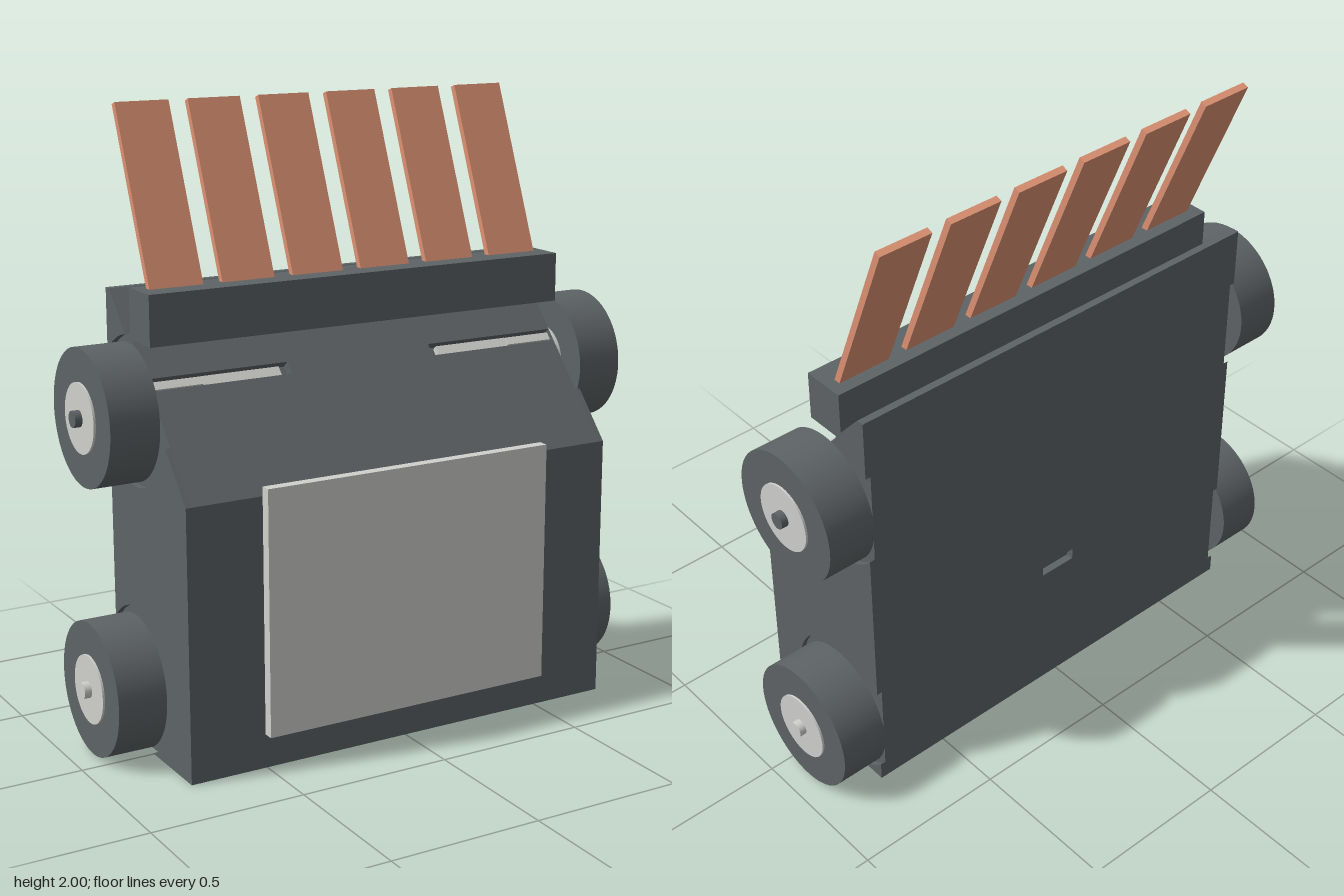
import * as THREE from 'three';

const mat = (name, color) => {
  const m = new THREE.MeshStandardMaterial({ color });
  m.name = name;
  return m;
};

export function createModel() {
  const dark = mat('dark grey', 0x5e6366);
  const light = mat('light grey', 0xd0d0cd);
  const copper = mat('copper', 0xdd9273);

  const model = new THREE.Group();
  model.name = 'fourWheeledMachine';
  const add = (name, geo, material, x = 0, y = 0, z = 0, parent = model) => {
    const m = new THREE.Mesh(geo, material);
    m.name = name;
    m.position.set(x, y, z);
    parent.add(m);
    return m;
  };
  const box = (w, h, d) => new THREE.BoxGeometry(w, h, d);

  // Profile shapes are drawn in (-z, y) and extruded along x
  const extrudeX = (shape, width) =>
    new THREE.ExtrudeGeometry(shape, { depth: width, bevelEnabled: false, curveSegments: 40 })
      .rotateY(Math.PI / 2).translate(-width / 2, 0, 0);
  const poly = pts => new THREE.Shape(pts.map(([z, y]) => new THREE.Vector2(-z, y)));

  // Flat panel in x/y with rectangular openings [x0, y0, x1, y1]
  const panel = (w, h, d, holes) => {
    const rect = (T, [x0, y0, x1, y1]) => new T([[x0, y0], [x1, y0], [x1, y1], [x0, y1]]
      .map(p => new THREE.Vector2(...p)));
    const s = rect(THREE.Shape, [-w / 2, 0, w / 2, h]);
    s.holes = holes.map(r => rect(THREE.Path, r));
    return new THREE.ExtrudeGeometry(s, { depth: d, bevelEnabled: false });
  };

  // Body core, set back behind the slope and back panels
  const inner = 1.48, skin = 0.03;
  add('bodyCore', extrudeX(poly([
    [0.27, 0], [0.27, 0.87], [0.248, 0.85], [-0.24, 1.395], [-0.24, 0]]), inner), dark);

  // Sloped upper front with two slots
  const slope = new THREE.Group();
  slope.name = 'slopedFront';
  slope.position.set(0, 0.87, 0.27);
  slope.rotation.x = -Math.atan2(0.51, 0.57);
  model.add(slope);
  add('slopePanel', panel(inner, 0.765, skin, [
    [-0.738, 0.394, -0.26, 0.437], [0.26, 0.394, 0.738, 0.437]]), dark, 0, 0, -skin, slope);
  for (const s of [-1, 1]) {
    add('slotInsert', box(0.27, 0.033, 0.02), light, s * 0.425, 0.413, -0.018, slope);
    add('slotInsertEnd', box(0.17, 0.027, 0.02), light, s * 0.645, 0.413, -0.013, slope);
  }

  // Back wall with a small opening
  add('backPanel', panel(inner, 1.44, 0.025, [[-0.065, 0.46, 0.065, 0.5]]), dark, 0, 0, -0.265);

  // Side skins, cut away around the wheels
  const R = 0.235, cu = 0.09, upY = 1.085, lowY = 0.22;
  const arc = (shape, cy, z0, y0, z1, y1, clockwise) => shape.absarc(cu, cy, R,
    Math.atan2(y0 - cy, -z0 - cu), Math.atan2(y1 - cy, -z1 - cu), clockwise);
  const main = new THREE.Shape();
  main.moveTo(-0.27, 0);
  main.lineTo(-0.27, 0.87);
  main.lineTo(-0.136, 1.02);
  arc(main, upY, 0.136, 1.02, -0.265, 0.928, false);
  main.lineTo(0.265, 0.377);
  arc(main, lowY, -0.265, 0.377, -0.007, 0, false);
  main.closePath();
  const top = new THREE.Shape();
  top.moveTo(0.265, 1.242);
  top.lineTo(0.265, 1.44);
  top.lineTo(0.24, 1.44);
  top.lineTo(0.129, 1.316);
  arc(top, upY, -0.129, 1.316, -0.265, 1.242, true);
  const corner = new THREE.Shape();
  corner.moveTo(0.265, 0);
  corner.lineTo(0.265, 0.063);
  arc(corner, lowY, -0.265, 0.063, -0.173, 0, true);
  for (const s of [-1, 1]) {
    for (const shape of [main, top, corner]) {
      add('sideSkin', extrudeX(shape, 0.018), dark, s * 0.749);
    }
  }

  // Front plate and top bar
  add('frontPlate', box(1.01, 0.79, 0.035), light, 0, 0.505, 0.2875);
  add('topBar', box(1.48, 0.16, 0.143), dark, 0, 1.378, -0.061);

  // Leaning fins
  const lean = Math.atan2(0.22, 0.545);
  for (let i = 0; i < 6; i++) {
    const fin = add('fin', box(0.18, 0.62, 0.022), copper, (i - 2.5) * 0.245, 1.707, -0.178);
    fin.rotation.x = -lean;
  }

  // Wheels with hubs and axle stubs
  const disc = (r, x0, x1, n = 48) => new THREE.CylinderGeometry(r, r, x1 - x0, n)
    .rotateZ(-Math.PI / 2).translate((x0 + x1) / 2, 0, 0);
  for (const s of [-1, 1]) {
    for (const [name, y, axleMat] of [['upperWheel', upY, dark], ['lowerWheel', lowY, light]]) {
      const wheel = new THREE.Group();
      wheel.name = name;
      wheel.position.set(0, y, -cu);
      wheel.rotation.y = s < 0 ? Math.PI : 0;
      model.add(wheel);
      add('tyre', disc(0.215, 0.766, 0.925, 64), dark, 0, 0, 0, wheel);
      add('hub', disc(0.11, 0.755, 0.932), light, 0, 0, 0, wheel);
      add('axle', disc(0.026, 0.73, 0.955, 24), axleMat, 0, 0, 0, wheel);
    }
  }
  return model;
}
